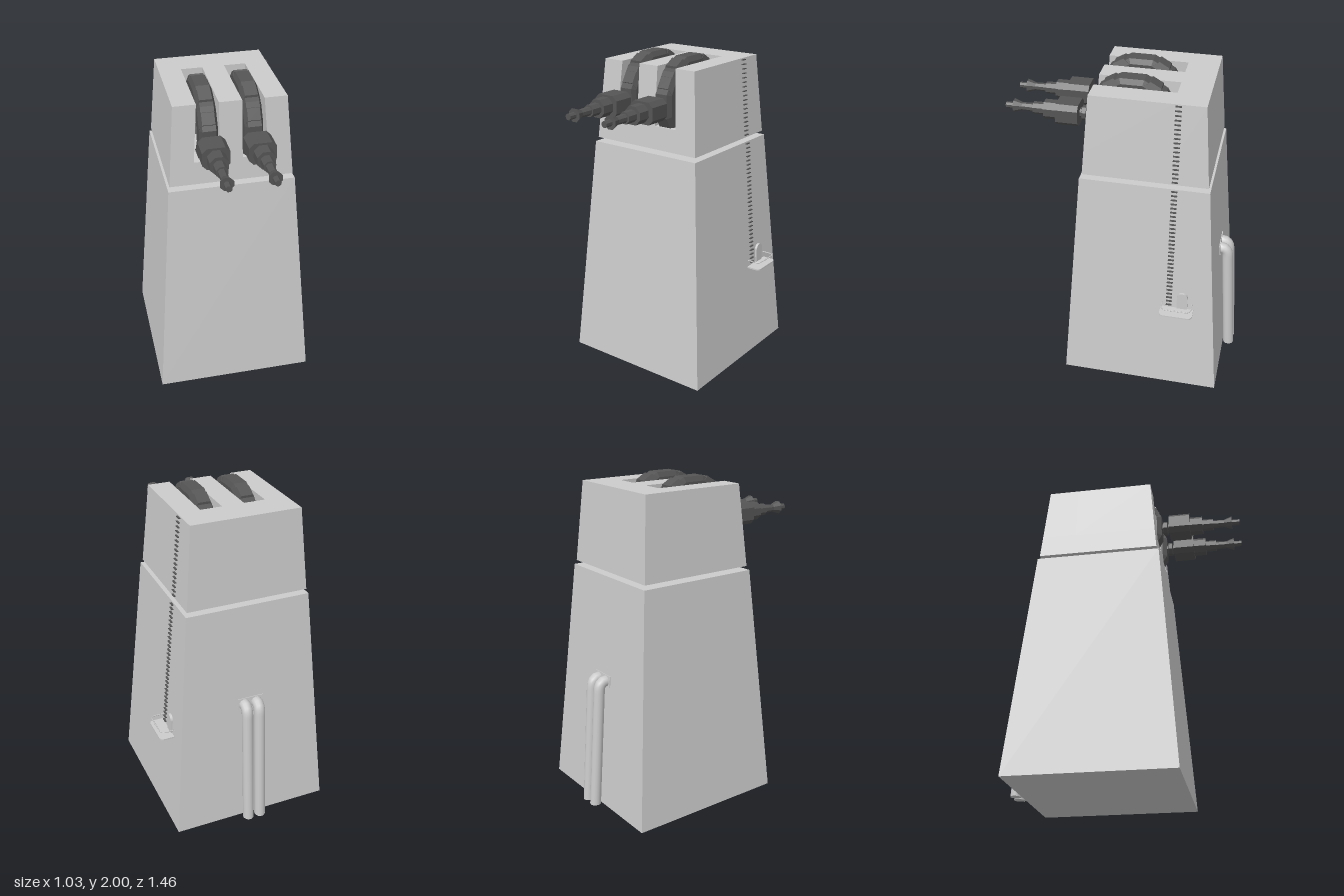
import * as THREE from 'three';

const grey = new THREE.MeshStandardMaterial({ color: 0xcccccc, flatShading: true });
const smooth = new THREE.MeshStandardMaterial({ color: 0xcccccc, side: THREE.DoubleSide });
const dark = new THREE.MeshStandardMaterial({ color: 0x555555, flatShading: true });

function add(parent, name, geometry, material = grey) {
  const mesh = new THREE.Mesh(geometry, material);
  mesh.name = name;
  parent.add(mesh);
  return mesh;
}

// Box whose bottom and top are different rectangles [x0, x1, z0, z1]
function taper(y0, bottom, y1, top) {
  const g = new THREE.BoxGeometry(1, 1, 1);
  const p = g.attributes.position;
  for (let i = 0; i < p.count; i++) {
    const up = p.getY(i) > 0, r = up ? top : bottom;
    p.setXYZ(i, r[p.getX(i) > 0 ? 1 : 0], up ? y1 : y0, r[p.getZ(i) > 0 ? 3 : 2]);
  }
  g.computeVertexNormals();
  return g;
}

const lerp = THREE.MathUtils.lerp;
const LOW = [-0.52, 0.475, -0.655, 0.345], LOW_TOP = [-0.405, 0.36, -0.535, 0.235];
const HEAD = [-0.395, 0.35, -0.525, 0.22], HEAD_TOP = [-0.355, 0.31, -0.485, 0.18];
const FLOOR = 1.6, SLOT_BACK = -0.3;
const HEAD_MID = HEAD.map((v, i) => lerp(v, HEAD_TOP[i], (FLOOR - 1.46) / 0.495));

// x of the left wall at height y
const wallX = (y) => (y < 1.45 ? lerp(LOW[1], LOW_TOP[1], y / 1.435)
  : lerp(HEAD[1], HEAD_TOP[1], (y - 1.46) / 0.495));

function buildHead() {
  const head = new THREE.Group();
  head.name = 'head';
  add(head, 'headBase', taper(1.46, HEAD, FLOOR, HEAD_MID));
  const b = HEAD_MID, t = HEAD_TOP;
  add(head, 'headBack', taper(FLOOR, [b[0], b[1], b[2], SLOT_BACK], 1.955, [t[0], t[1], t[2], SLOT_BACK]));
  // Three pillars leave two gun slots open to the front and the top
  const pillars = [
    ['rightPillar', b[0], -0.245, t[0], -0.22],
    ['middlePillar', -0.09, 0.045, -0.09, 0.045],
    ['leftPillar', 0.2, b[1], 0.175, t[1]],
  ];
  for (const [name, x0, x1, x2, x3] of pillars) {
    add(head, name, taper(FLOOR, [x0, x1, SLOT_BACK, b[3]], 1.955, [x2, x3, SLOT_BACK, t[3]]));
  }
  return head;
}

function buildGun() {
  const gun = new THREE.Group();
  // Twelve-sided mount wheel with chamfered rim
  const k = 1 / Math.cos(Math.PI / 12);
  const rim = [[0.16, -0.055], [0.235, -0.055], [0.265, -0.04], [0.265, 0.04], [0.235, 0.055], [0.16, 0.055], [0.16, -0.055]]
    .map(([r, y]) => new THREE.Vector2(r * k, y));
  const wheel = new THREE.LatheGeometry(rim, 12, Math.PI / 12).rotateZ(Math.PI / 2);
  add(gun, 'mountWheel', wheel, dark).position.z = -0.035;
  // Raised armour pads around the wheel
  for (const a of [-Math.PI / 3, -Math.PI / 6, Math.PI / 6, Math.PI / 3]) {
    const wide = Math.abs(a) < 1;
    const pad = taper(0.24, [-0.055, 0.055, -0.055, 0.055], wide ? 0.277 : 0.269, [-0.038, 0.038, -0.035, 0.035]);
    add(gun, 'wheelPad', pad.rotateX(a), dark).position.z = -0.035;
  }
  // Breech block with cut corners
  const w = 0.08, h = 0.066, c = 0.028;
  const corners = [[w, h - c], [w - c, h], [c - w, h], [-w, h - c], [-w, c - h], [c - w, -h], [w - c, -h], [w, c - h]];
  const block = new THREE.Shape(corners.map(([x, y]) => new THREE.Vector2(x, y)));
  add(gun, 'breech', new THREE.ExtrudeGeometry(block, { depth: 0.135, bevelEnabled: false }), dark).position.z = 0.28;
  // Neck and stepped barrel with flared muzzle
  const turned = (name, pts) => add(gun, name, new THREE.LatheGeometry(
    pts.map(([r, z]) => new THREE.Vector2(r, z)), 8, Math.PI / 8).rotateX(Math.PI / 2), dark);
  turned('neck', [[0, 0.2], [0.03, 0.2], [0.03, 0.235], [0.045, 0.24], [0.045, 0.265], [0.03, 0.27], [0.03, 0.285]]);
  turned('barrel', [[0.058, 0.41], [0.058, 0.495], [0.037, 0.495], [0.037, 0.565], [0.026, 0.565],
    [0.024, 0.635], [0.042, 0.685], [0.019, 0.685], [0.019, 0.735], [0, 0.735]]);
  return gun;
}

function buildPipe(x) {
  const v = (y, z) => new THREE.Vector3(x, y, z);
  const path = new THREE.CurvePath();
  path.add(new THREE.LineCurve3(v(0.8, -0.56), v(0.802, -0.595)));
  path.add(new THREE.QuadraticBezierCurve3(v(0.802, -0.595), v(0.805, -0.635), v(0.75, -0.64)));
  path.add(new THREE.LineCurve3(v(0.75, -0.64), v(0.003, -0.693)));
  const pipe = new THREE.Group();
  pipe.name = 'pipe';
  add(pipe, 'pipeTube', new THREE.TubeGeometry(path, 48, 0.034, 14), smooth);
  add(pipe, 'pipeEnd', new THREE.CircleGeometry(0.034, 14).rotateX(Math.PI / 2), smooth).position.set(x, 0.003, -0.693);
  return pipe;
}

function buildBalcony() {
  const balcony = new THREE.Group();
  balcony.name = 'balcony';
  // Floor plate with rounded outer corners
  const plate = new THREE.Shape();
  plate.moveTo(0.41, -0.485);
  plate.lineTo(0.485, -0.485);
  plate.quadraticCurveTo(0.515, -0.485, 0.515, -0.455);
  plate.lineTo(0.515, -0.31);
  plate.quadraticCurveTo(0.515, -0.28, 0.485, -0.28);
  plate.lineTo(0.41, -0.28);
  add(balcony, 'balconyFloor', new THREE.ExtrudeGeometry(plate, { depth: 0.009, bevelEnabled: false })
    .rotateX(Math.PI / 2)).position.y = 0.605;
  // Hand rail
  const rail = [[0.41, -0.474], [0.485, -0.474], [0.506, -0.453], [0.506, -0.312], [0.485, -0.291], [0.41, -0.291]]
    .map(([x, z]) => new THREE.Vector3(x, 0.645, z));
  const railPath = new THREE.CatmullRomCurve3(rail, false, 'catmullrom', 0.2);
  add(balcony, 'handRail', new THREE.TubeGeometry(railPath, 40, 0.0035, 6), smooth);
  // Round-topped door
  const door = new THREE.Shape();
  door.moveTo(0.38, 0.6);
  door.lineTo(0.446, 0.6);
  door.lineTo(0.446, 0.69);
  door.absarc(0.413, 0.69, 0.033, 0, Math.PI, false);
  door.lineTo(0.38, 0.6);
  add(balcony, 'door', new THREE.ExtrudeGeometry(door, { depth: 0.035, bevelEnabled: false })
    .rotateY(Math.PI / 2)).position.x = 0.398;
  return balcony;
}

export function createModel() {
  const model = new THREE.Group();
  model.name = 'gunTower';
  add(model, 'towerBody', taper(0, LOW, 1.435, LOW_TOP));
  const neck = [-0.305, 0.255, -0.43, 0.13];
  add(model, 'turretNeck', taper(1.43, neck, 1.465, neck));
  model.add(buildHead());

  for (const [name, x] of [['rightGun', -0.155], ['leftGun', 0.11]]) {
    const gun = buildGun();
    gun.name = name;
    gun.position.set(x, 1.733, 0);
    model.add(gun);
  }

  // Ladder rungs up the left wall
  const rungs = new THREE.Group();
  rungs.name = 'ladder';
  const rung = new THREE.BoxGeometry(0.022, 0.005, 0.036);
  for (let y = 0.625; y < 1.955; y += 0.0275) {
    if (y > 1.43 && y < 1.465) continue;
    add(rungs, 'rung', rung, dark).position.set(wallX(y), y, -0.33);
  }
  model.add(rungs);

  model.add(buildBalcony());

  // Back pipes and the plate they come out of
  const plate = add(model, 'pipePlate', new THREE.BoxGeometry(0.165, 0.07, 0.012));
  plate.position.set(-0.025, 0.805, -0.587);
  plate.rotation.x = Math.atan(0.12 / 1.435);
  model.add(buildPipe(-0.062), buildPipe(0.017));
  return model;
}
